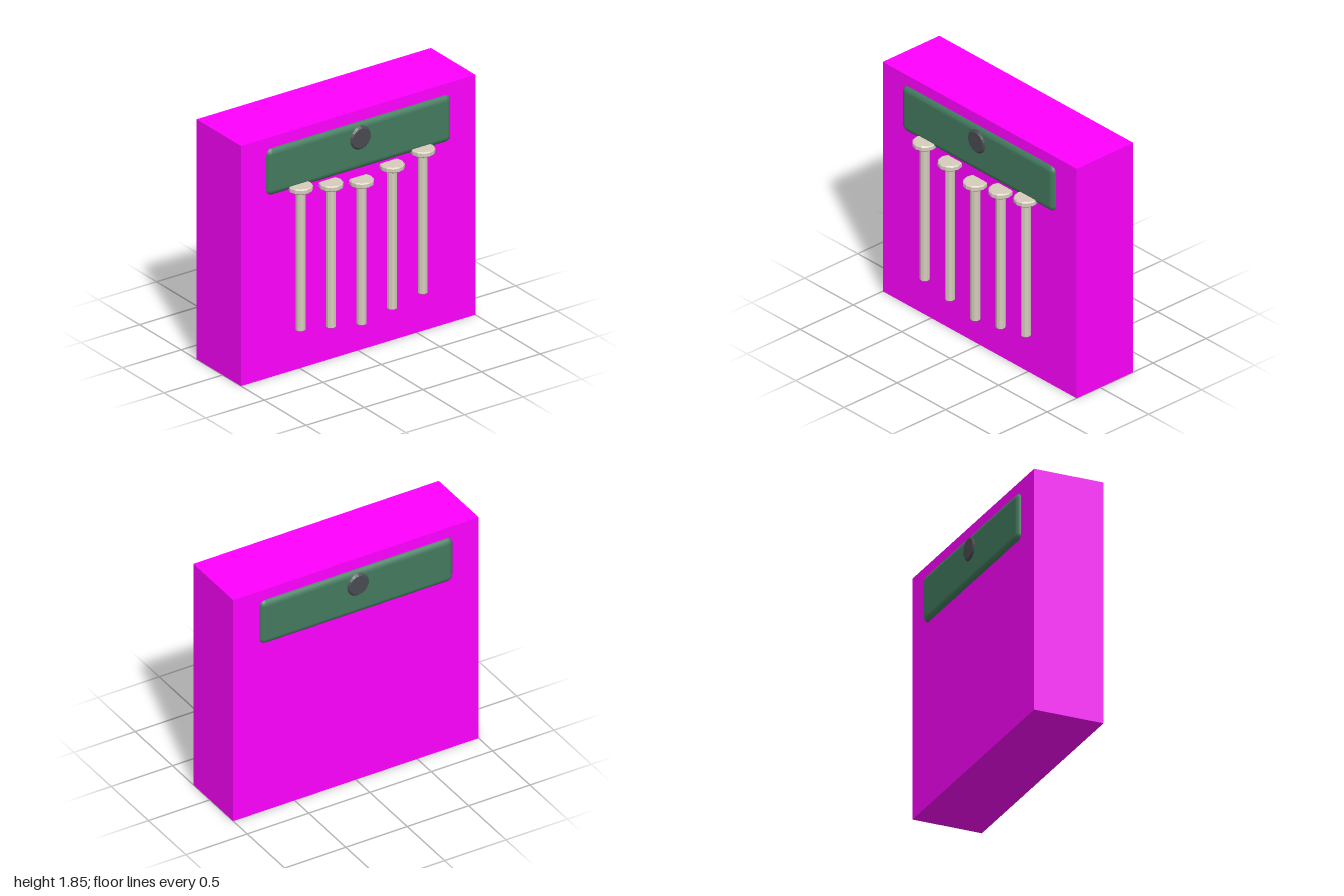
import * as THREE from 'three';
import { RoundedBoxGeometry } from 'three/addons/geometries/RoundedBoxGeometry.js';

const material = (color) => new THREE.MeshStandardMaterial({ color });

// Cylinder about y with chamfered rims, centred on its origin
function chamferedCylinder(radius, height, chamfer, sides) {
  const h = height / 2;
  const profile = [
    [0, -h], [radius - chamfer, -h], [radius, -h + chamfer],
    [radius, h - chamfer], [radius - chamfer, h], [0, h],
  ].map(([x, y]) => new THREE.Vector2(x, y));
  const geometry = new THREE.LatheGeometry(profile, sides).toNonIndexed();
  geometry.computeVertexNormals();
  return geometry;
}

export function createModel() {
  const model = new THREE.Group();
  const add = (name, geometry, mat, x, y, z, parent = model) => {
    const mesh = new THREE.Mesh(geometry, mat);
    mesh.name = name;
    mesh.position.set(x, y, z);
    parent.add(mesh);
    return mesh;
  };
  const magenta = material(0xff00ff);
  const tan = material(0xb09878);
  const green = material(0x437a5e);
  const dark = material(0x484b50);
  const bone = material(0xd6cdbd);
  const midZ = -0.046;

  // Outer block with a softened core just inside it
  add('outerBlock', new THREE.BoxGeometry(2, 1.85, 0.534), magenta, 0, 0.925, midZ);
  add('innerCore', new RoundedBoxGeometry(1.994, 1.844, 0.528, 2, 0.12), tan, 0, 0.925, midZ);

  // Band and round boss pass through, showing on front and back
  add('band', new RoundedBoxGeometry(1.58, 0.37, 0.59, 2, 0.05), green, 0, 1.585, midZ);
  const boss = add('boss', chamferedCylinder(0.1, 0.616, 0.025, 20), dark, 0, 1.65, midZ);
  boss.rotation.x = Math.PI / 2;

  // Five capped rods, stepping down towards the middle
  const rodGeometry = chamferedCylinder(0.036, 1.11, 0.008, 10);
  const capGeometry = chamferedCylinder(0.088, 0.042, 0.008, 12);
  for (let i = -2; i <= 2; i++) {
    const rod = new THREE.Group();
    rod.name = 'cappedRod';
    rod.position.set(i * 0.261, 0.22 + Math.abs(i) * 0.048, 0.262);
    add('rod', rodGeometry, bone, 0, 0.555, 0, rod);
    add('cap', capGeometry, bone, 0, 1.1, 0, rod);
    model.add(rod);
  }
  return model;
}
